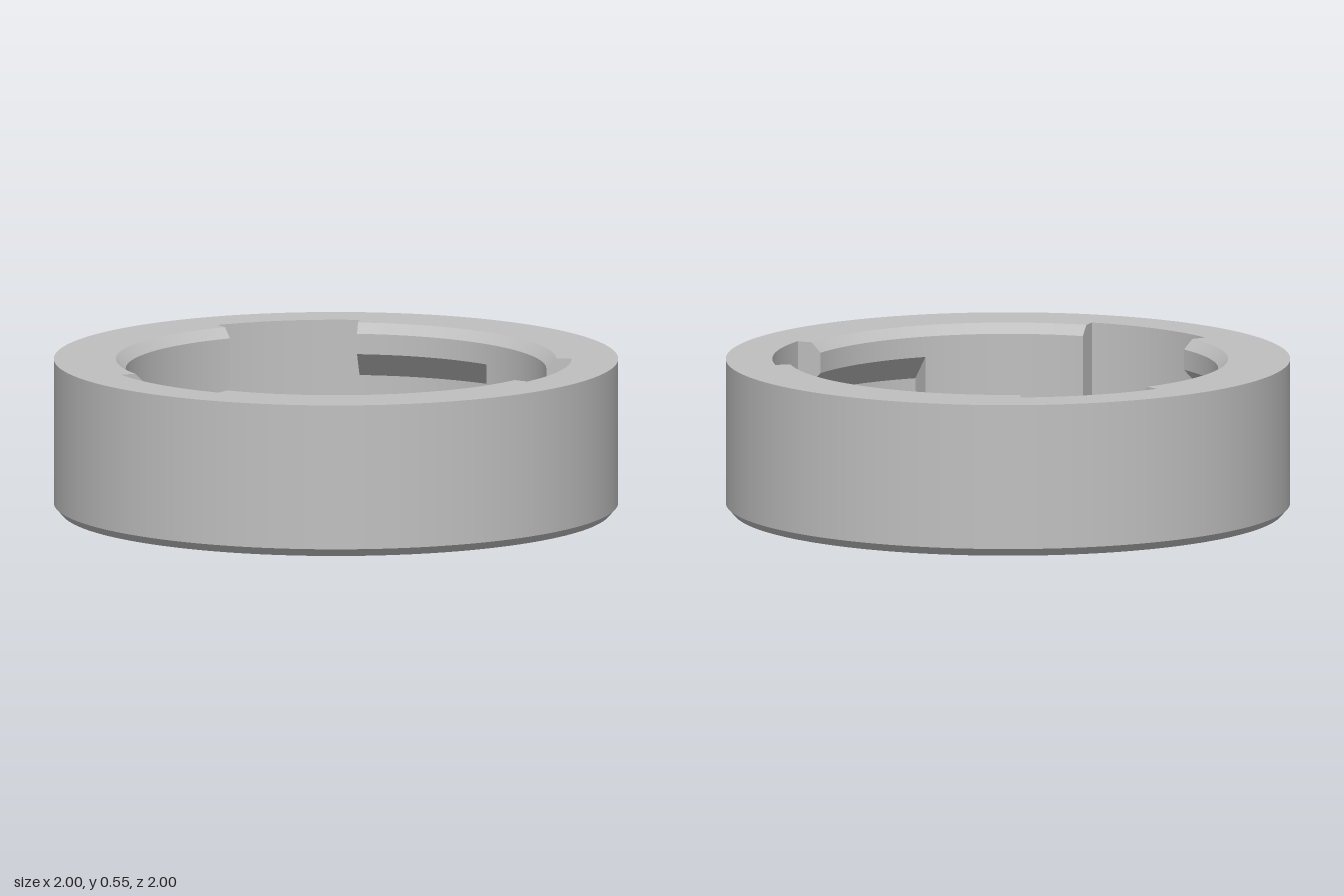
import * as THREE from 'three';
import { mergeGeometries } from 'three/addons/utils/BufferGeometryUtils.js';

const rad = THREE.MathUtils.degToRad;
const TOP = 0.545, FLOOR = 0.05, LEDGE = 0.228;
const BORE = 0.745, MOUTH = 0.78, GROOVE = 0.835;
const ROOF_IN = 0.437, ROOF_OUT = 0.347; // sloped channel ceiling

// Revolve a profile through part of a circle, keeping every profile corner sharp
function revolve(points, from = 0, to = 360) {
  const steps = Math.round((to - from) / 2);
  const bands = [];
  for (let i = 0; i < points.length - 1; i++) {
    const pair = [points[i], points[i + 1]].map(([r, y]) => new THREE.Vector2(r, y));
    bands.push(new THREE.LatheGeometry(pair, steps, rad(from), rad(to - from)));
  }
  return mergeGeometries(bands);
}

// Flat radial wall at an angle; side = 1 faces increasing angles, -1 decreasing
function radialWall(points, angle, side) {
  const shape = new THREE.Shape(points.map(([r, y]) => new THREE.Vector2(-side * r, y)));
  return new THREE.ShapeGeometry(shape).rotateY(rad(angle + side * 90));
}

export function createModel() {
  const model = new THREE.Group();
  model.name = 'bayonetCap';
  const grey = new THREE.MeshStandardMaterial({ color: 0xc0c0c0 });
  grey.name = 'grey';
  const add = (name, geometry, parent = model) => {
    const mesh = new THREE.Mesh(geometry, grey);
    mesh.name = name;
    parent.add(mesh);
  };

  // Underside, chamfer, outer wall and rim
  add('outerShell', revolve([[0, 0], [0.975, 0], [1, 0.028], [1, TOP], [GROOVE, TOP]]));
  // Lower bore and cavity floor
  add('cavity', revolve([[BORE, LEDGE], [BORE, FLOOR], [0, FLOOR]]));

  // Inner wall profiles, from the rim down to the ledge
  const lip = [[GROOVE, TOP], [MOUTH, TOP], [BORE, TOP - 0.035]];
  const plain = [...lip, [BORE, LEDGE]];
  const slot = [[GROOVE, TOP], [GROOVE, LEDGE], [BORE, LEDGE]];
  const channel = [...lip, [BORE, ROOF_IN], [GROOVE, ROOF_OUT], [GROOVE, LEDGE], [BORE, LEDGE]];

  // Cross-sections of the walls that close the slots and channels
  const slotSide = [[BORE, LEDGE], [GROOVE, LEDGE], [GROOVE, TOP], [MOUTH, TOP], [BORE, TOP - 0.035]];
  const toothSide = [[BORE, ROOF_IN], [GROOVE, ROOF_OUT], [GROOVE, TOP], [MOUTH, TOP], [BORE, TOP - 0.035]];
  const channelStop = [[BORE, LEDGE], [GROOVE, LEDGE], [GROOVE, ROOF_OUT], [BORE, ROOF_IN]];

  // Three identical bayonet locks around the bore
  for (let i = 0; i < 3; i++) {
    const lock = new THREE.Group();
    lock.name = 'bayonetLock' + (i + 1);
    lock.rotation.y = rad(120 * i);
    add('plainWall', revolve(plain, 78, 122), lock);
    add('lockingChannel', revolve(channel, 122, 162), lock);
    add('entrySlot', revolve(slot, 162, 198), lock);
    add('channelStop', radialWall(channelStop, 122, 1), lock);
    add('toothSide', radialWall(toothSide, 162, 1), lock);
    add('slotSide', radialWall(slotSide, 198, -1), lock);
    model.add(lock);
  }
  return model;
}
